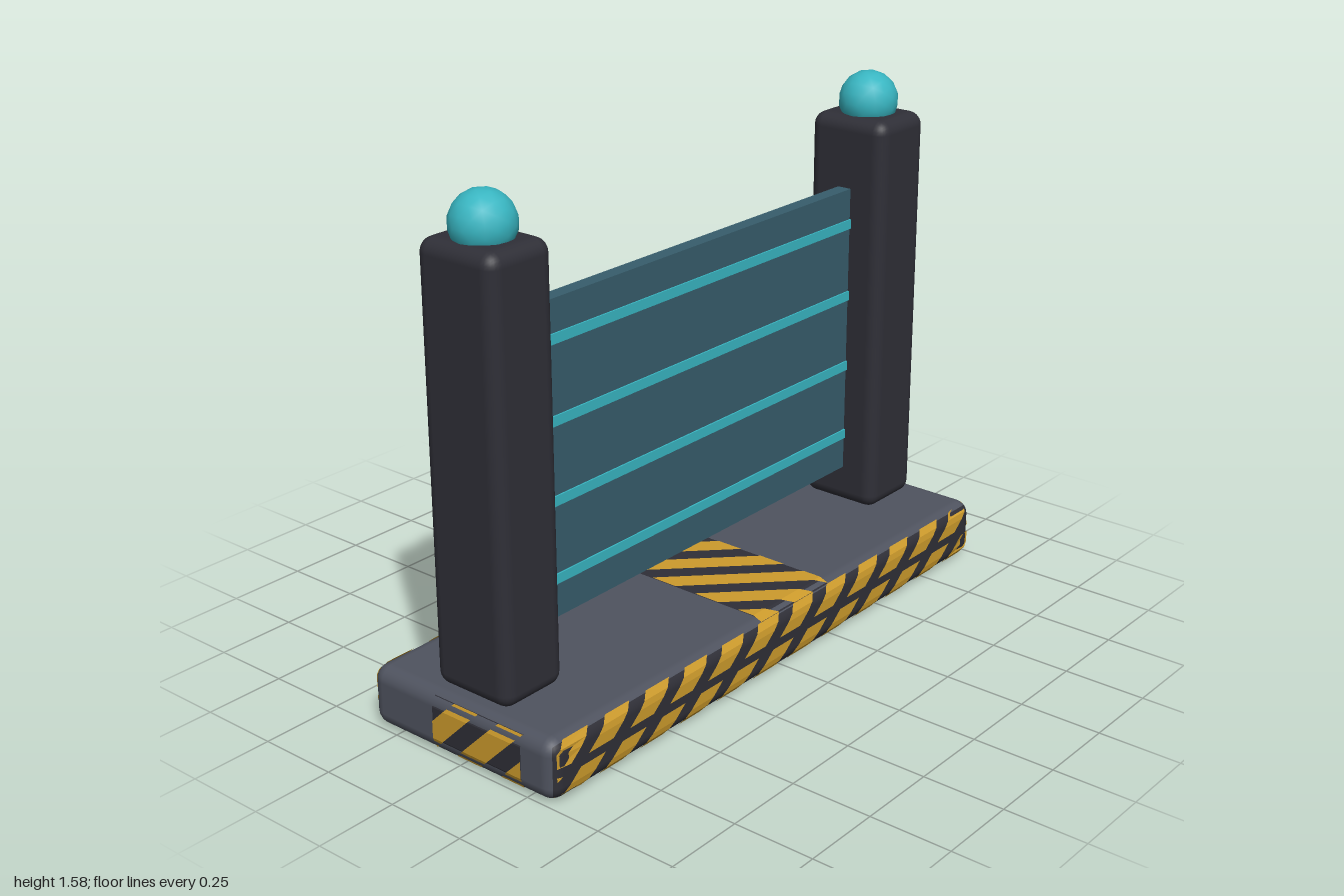
import * as THREE from 'three';
import { RoundedBoxGeometry } from 'three/addons/geometries/RoundedBoxGeometry.js';

const mat = (name, color, side = THREE.FrontSide) => {
  const m = new THREE.MeshStandardMaterial({ color, side });
  m.name = name;
  return m;
};

// base half sizes and edge radius
const HX = 1, HY = 0.0925, HZ = 0.345, R = 0.045;

// keep the part of a polygon where f(u, v) >= 0
function clip(poly, f) {
  const out = [];
  poly.forEach((p, i) => {
    const q = poly[(i + 1) % poly.length];
    const a = f(...p), b = f(...q);
    if (a >= 0) out.push(p);
    if (a * b < 0) {
      const t = a / (a - b);
      out.push([p[0] + (q[0] - p[0]) * t, p[1] + (q[1] - p[1]) * t]);
    }
  });
  return out;
}

// thin paint skin hugging one face of the rounded base
// bands: rows [v0, v1]; stripe: { slope, period, width, phase }, or none for solid paint
function paint(u0, u1, bands, stripe, hu, hv, hn, lift, place) {
  const pos = [];
  const point = (u, v) => {
    const d = Math.hypot(Math.max(0, Math.abs(u) - hu + R), Math.max(0, Math.abs(v) - hv + R));
    return place(u, v, hn - R + Math.sqrt(Math.max(0, R * R - d * d)) + lift);
  };
  const add = (poly) => {
    for (let i = 1; i < poly.length - 1; i++) {
      for (const p of [poly[0], poly[i], poly[i + 1]]) pos.push(...point(...p));
    }
  };
  for (const [v0, v1] of bands) {
    const rect = [[u0, v0], [u1, v0], [u1, v1], [u0, v1]];
    if (!stripe) { add(rect); continue; }
    const { slope, period, width, phase } = stripe;
    for (let k = -16; k <= 16; k++) {
      const a = phase + k * period;
      const cut = clip(rect, (u, v) => u - slope * v - a);
      add(clip(cut, (u, v) => a + width - u + slope * v));
    }
  }
  const g = new THREE.BufferGeometry();
  g.setAttribute('position', new THREE.Float32BufferAttribute(pos, 3));
  g.computeVertexNormals();
  return g;
}

export function createModel() {
  const group = new THREE.Group();
  const slate = mat('slate', 0x4f535f);
  const charcoal = mat('charcoal', 0x2f2f37, THREE.DoubleSide);
  const yellow = mat('hazardYellow', 0xcd9b2c, THREE.DoubleSide);
  const panelTeal = mat('panelTeal', 0x375d6c);
  const brightTeal = mat('brightTeal', 0x38b6c2);

  const add = (name, geometry, material, x = 0, y = 0, z = 0) => {
    const m = new THREE.Mesh(geometry, material);
    m.name = name;
    m.position.set(x, y, z);
    group.add(m);
    return m;
  };

  // base slab: slate with dark front and back
  add('base', new RoundedBoxGeometry(2 * HX, 2 * HY, 2 * HZ, 3, R),
    [slate, slate, slate, slate, charcoal, charcoal], 0, HY, 0);

  // two rows of slanted stripes on front and back
  const rows = [[-0.082, -0.066], [-0.066, -0.0475], [-0.0475, -0.013],
    [0.013, 0.0475], [0.0475, 0.066], [0.066, 0.084]];
  const longStripe = { slope: 1.2, period: 0.166, width: 0.098, phase: -0.05 };
  for (const s of [1, -1]) {
    add(s > 0 ? 'frontStripes' : 'backStripes',
      paint(-0.98, 0.98, rows, longStripe, HX, HY, HZ, 0.004, (u, v, n) => [u, v, s * n * 1]),
      yellow, 0, HY, 0);
  }

  // striped band over the top and underside
  const bandRows = [[-0.33, -0.3], [-0.3, 0.3], [0.3, 0.33]];
  const bandStripe = { slope: 1, period: 0.165, width: 0.09, phase: 0.06 };
  for (const s of [1, -1]) {
    const place = (u, v, n) => [u, s * n, v];
    const side = s > 0 ? 'top' : 'bottom';
    add(side + 'Band', paint(-0.1, 0.225, bandRows, null, HX, HZ, HY, 0.002, place), charcoal, 0, HY, 0);
    add(side + 'BandStripes', paint(-0.1, 0.225, bandRows, bandStripe, HX, HZ, HY, 0.004, place), yellow, 0, HY, 0);
  }

  // striped patch on each end
  const endRows = [[-0.08, -0.0475], [-0.0475, 0.0475], [0.0475, 0.08]];
  for (const s of [1, -1]) {
    const place = (u, v, n) => [s * n, v, u];
    const side = s > 0 ? 'left' : 'right';
    add(side + 'EndPatch', paint(-0.1, 0.23, endRows, null, HZ, HY, HX, 0.001, place), charcoal, 0, HY, 0);
    add(side + 'EndStripes', paint(-0.1, 0.23, endRows, bandStripe, HZ, HY, HX, 0.003, place), yellow, 0, HY, 0);
  }

  // posts with lamps on top
  for (const s of [1, -1]) {
    const side = s > 0 ? 'left' : 'right';
    add(side + 'Post', new RoundedBoxGeometry(0.23, 1.275, 0.276, 3, 0.042), charcoal, s * 0.837, 0.8175, 0);
    add(side + 'Lamp', new THREE.IcosahedronGeometry(0.092, 2), brightTeal, s * 0.837, 1.49, 0);
  }

  // barrier panel with four bright bars
  add('panel', new THREE.BoxGeometry(1.5, 0.93, 0.046), panelTeal, 0, 0.77, 0);
  for (let i = 0; i < 4; i++) {
    add('panelBar', new THREE.BoxGeometry(1.5, 0.03, 0.056), brightTeal, 0, 0.423 + i * 0.2335, 0);
  }
  return group;
}
